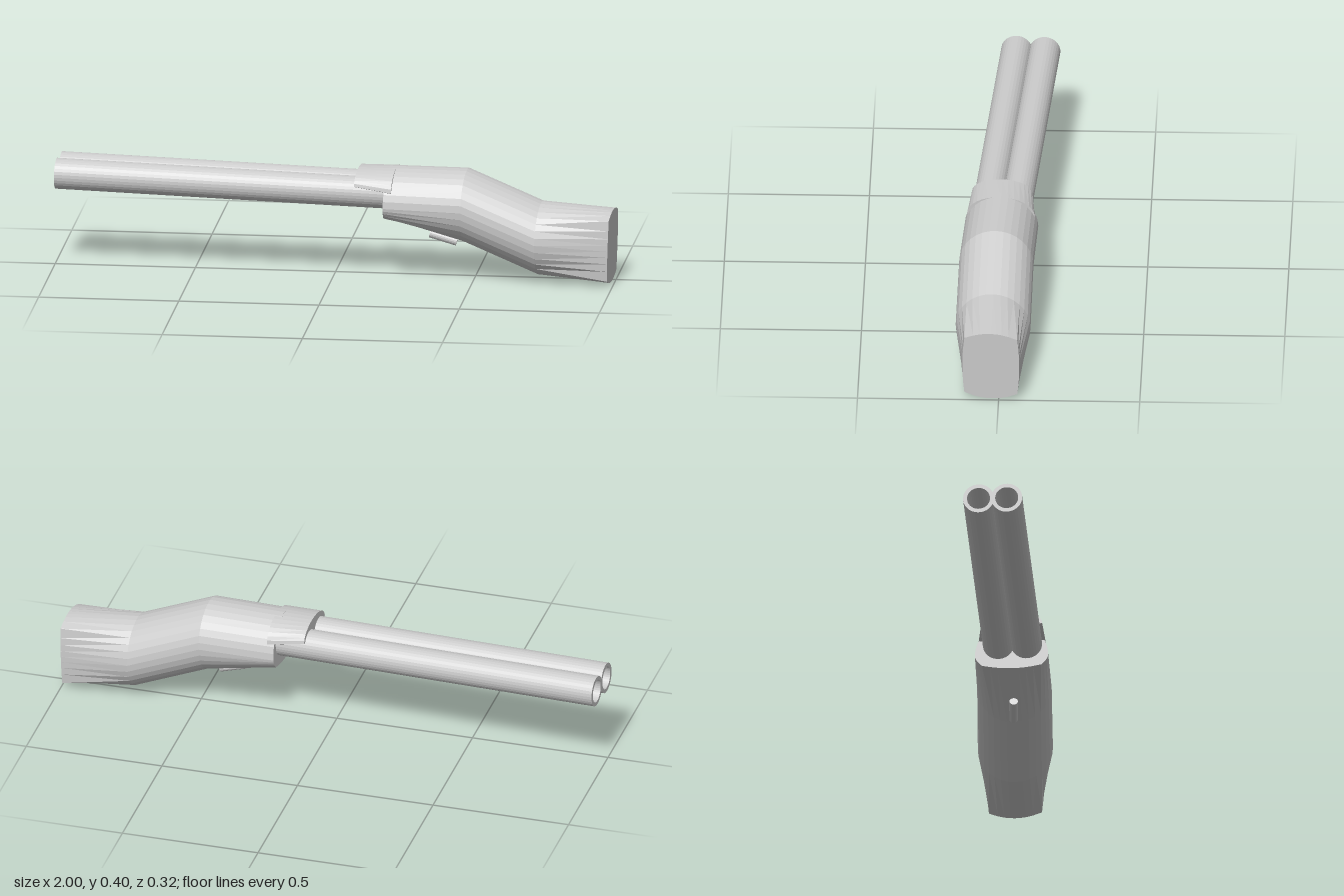
import * as THREE from 'three';

const SIDES = 32;
const material = new THREE.MeshStandardMaterial({ color: 0xcccccc, flatShading: true });

// One cross-section across x; kTop and kBot blend each half from ellipse (0) to bulged square (1).
function ring({ x, z, w, mid, top, bottom, kTop = 0, kBot = 0 }) {
  const points = [];
  for (let i = 0; i < SIDES; i++) {
    const a = (i / SIDES) * Math.PI * 2;
    const c = Math.cos(a), s = Math.sin(a);
    const m = Math.max(Math.abs(c), Math.abs(s));
    const u = c / m, v = s / m;
    const k = s >= 0 ? kTop : kBot;
    const dz = w * THREE.MathUtils.lerp(c, u * (1 - 0.07 * v * v), k);
    const dy = (s >= 0 ? top - mid : mid - bottom) * THREE.MathUtils.lerp(s, v * (1 - 0.16 * u * u), k);
    // Sections lean slightly, square to the barrel direction
    points.push(new THREE.Vector3(x - 0.062 * dz + 0.03 * dy, mid + dy, z + dz));
  }
  return points;
}

// Skin through the cross-sections, closed at both ends.
function loft(sections) {
  const rings = sections.map(ring);
  const positions = [], index = [];
  for (const r of rings) for (const p of r) positions.push(p.x, p.y, p.z);
  for (let j = 0; j < rings.length - 1; j++) {
    for (let i = 0; i < SIDES; i++) {
      const n = (i + 1) % SIDES;
      const a = j * SIDES + i, b = a + SIDES, c = (j + 1) * SIDES + n, d = j * SIDES + n;
      index.push(a, b, c, a, c, d);
    }
  }
  [0, rings.length - 1].forEach((j, end) => {
    const centre = new THREE.Vector3();
    rings[j].forEach((p) => centre.addScaledVector(p, 1 / SIDES));
    const hub = positions.length / 3;
    positions.push(centre.x, centre.y, centre.z);
    for (let i = 0; i < SIDES; i++) {
      const a = j * SIDES + i, b = j * SIDES + ((i + 1) % SIDES);
      if (end) index.push(hub, b, a);
      else index.push(hub, a, b);
    }
  });
  const geometry = new THREE.BufferGeometry();
  geometry.setAttribute('position', new THREE.Float32BufferAttribute(positions, 3));
  geometry.setIndex(index);
  geometry.computeVertexNormals();
  return geometry;
}

export function createModel() {
  const group = new THREE.Group();
  const add = (name, geometry) => {
    const mesh = new THREE.Mesh(geometry, material);
    mesh.name = name;
    group.add(mesh);
    return mesh;
  };

  // Stock: rounded at the front, bent down, squared off at the butt
  add('stock', loft([
    { x: 0.192, z: 0.012, w: 0.13, mid: 0.27, top: 0.397, bottom: 0.217, kBot: 0.45 },
    { x: 0.47, z: 0.023, w: 0.132, mid: 0.265, top: 0.397, bottom: 0.135 },
    { x: 0.735, z: 0.027, w: 0.133, mid: 0.155, top: 0.286, bottom: 0.024 },
    { x: 0.991, z: 0.028, w: 0.101, mid: 0.134, top: 0.265, bottom: 0.002, kTop: 1, kBot: 1 },
  ]));

  // Lip reaching forward over the barrels
  add('barrelCover', loft([
    { x: 0.086, z: 0.012, w: 0.108, mid: 0.343, top: 0.395, bottom: 0.337 },
    { x: 0.22, z: 0.014, w: 0.12, mid: 0.325, top: 0.396, bottom: 0.317 },
  ]));

  // Two hollow barrels side by side
  const muzzle = new THREE.Vector3(-0.993, 0.33, -0.058);
  const breech = new THREE.Vector3(0.3, 0.308, 0.022);
  const axis = breech.clone().sub(muzzle);
  const length = axis.length();
  axis.normalize();
  const across = new THREE.Vector3(-axis.z, 0, axis.x).normalize();
  const outer = 0.055, inner = 0.041;
  const profile = [[inner, length], [inner, 0], [outer, 0], [outer, length], [inner, length]]
    .map(([r, y]) => new THREE.Vector2(r, y));
  for (const [name, side] of [['frontBarrel', 1], ['rearBarrel', -1]]) {
    const barrel = add(name, new THREE.LatheGeometry(profile, SIDES));
    barrel.quaternion.setFromUnitVectors(new THREE.Vector3(0, 1, 0), axis);
    barrel.position.copy(muzzle).addScaledVector(across, side * 0.05);
  }

  // Small trigger stub under the stock
  const trigger = add('trigger', new THREE.CylinderGeometry(0.015, 0.015, 0.1, 16));
  trigger.rotation.z = Math.PI / 2 - 0.28;
  trigger.position.set(0.387, 0.143, 0.02);

  return group;
}
